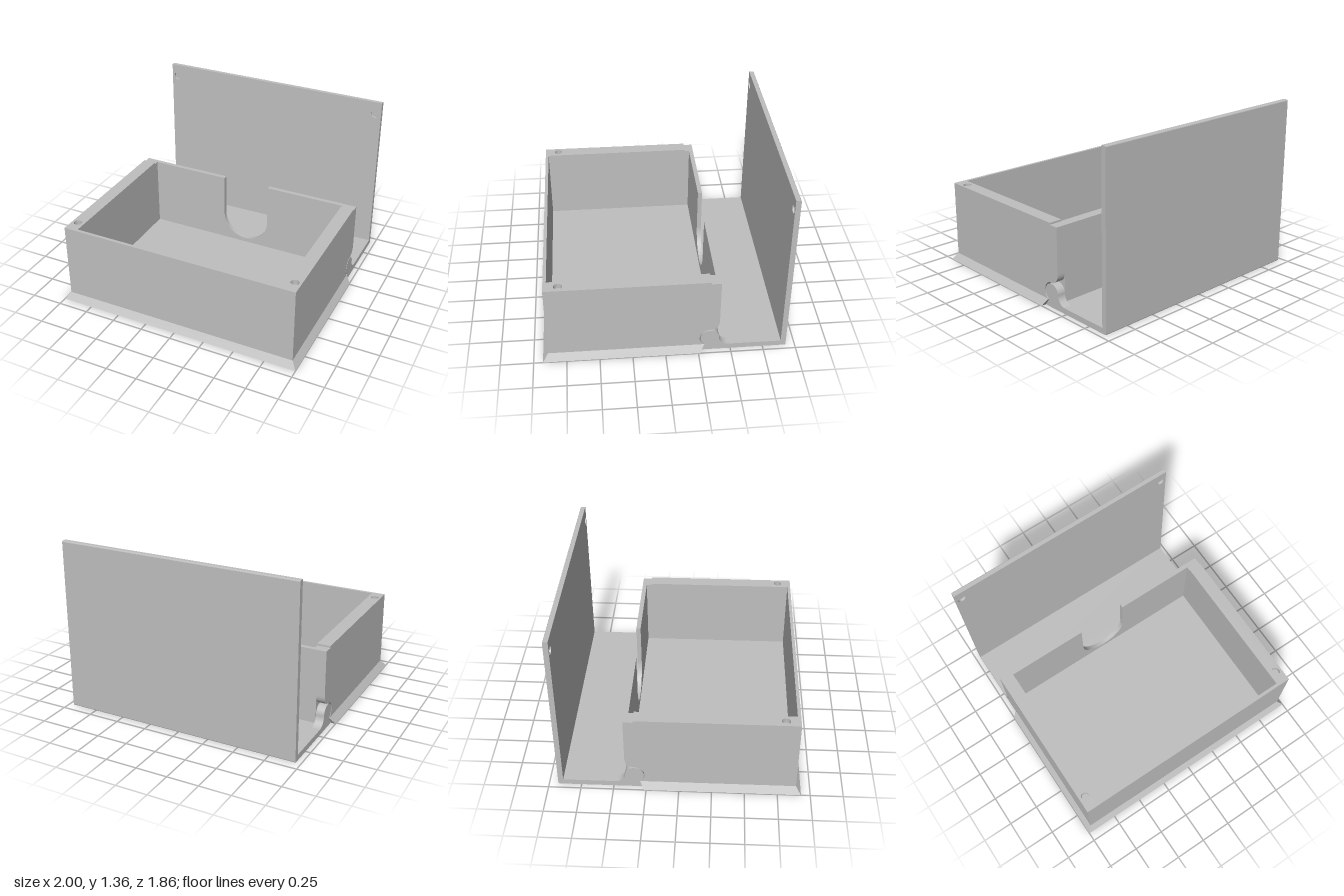
import * as THREE from 'three';

const W = 0.96;        // half width of box and lid
const IN = 0.855;      // half width of the cavity
const KN = 0.893;      // inner side of the hinge knuckles
const HX = 0.91, HR = 0.032; // magnet recess position and radius

export function createModel() {
  const root = new THREE.Group();
  const grey = new THREE.MeshStandardMaterial({ color: 0xbfbfbf });
  grey.name = 'grey plastic';

  const add = (name, geo, parent) => {
    const m = new THREE.Mesh(geo, grey);
    m.name = name;
    parent.add(m);
    return m;
  };
  const block = (name, x0, x1, y0, y1, z0, z1, parent) =>
    add(name, new THREE.BoxGeometry(x1 - x0, y1 - y0, z1 - z0), parent)
      .position.set((x0 + x1) / 2, (y0 + y1) / 2, (z0 + z1) / 2);
  const extrude = (shape, depth) =>
    new THREE.ExtrudeGeometry(shape, { depth, bevelEnabled: false, curveSegments: 24 });
  // side profile drawn as (-z, y), swept from x0 to x1
  const sweepX = (name, shape, x0, x1, parent) =>
    add(name, extrude(shape, x1 - x0).rotateY(Math.PI / 2).translate(x0, 0, 0), parent);
  const poly = (pts) => new THREE.Shape(pts.map(([a, b]) => new THREE.Vector2(a, b)));
  const drill = (shape, x, y) => {
    const hole = new THREE.Path();
    hole.absarc(x, y, HR, 0, Math.PI * 2, true);
    shape.holes.push(hole);
  };

  const box = new THREE.Group();
  box.name = 'box';
  const lid = new THREE.Group();
  lid.name = 'lid';
  root.add(box, lid);

  // box floor, with a raised rear strip above the lid plate
  block('floor', -IN, IN, 0, 0.065, -0.265, 0.865, box);
  block('rearFloor', -IN, IN, 0.05, 0.065, -0.375, -0.265, box);
  block('frontWall', -IN, IN, 0, 0.665, 0.865, 0.89, box);

  // rear wall with a U-shaped finger notch
  const rear = new THREE.Shape();
  rear.moveTo(-IN, 0.05);
  rear.lineTo(IN, 0.05);
  rear.lineTo(IN, 0.65);
  rear.lineTo(0.2, 0.65);
  rear.lineTo(0.2, 0.3);
  rear.absarc(0, 0.3, 0.2, 0, -Math.PI, true);
  rear.lineTo(-0.2, 0.65);
  rear.lineTo(-IN, 0.65);
  add('rearWall', extrude(rear, 0.035).translate(0, 0, -0.41), box);

  // side wall profiles: plain inner layer and outer layer with hinge socket
  const inner = poly([[-0.89, 0], [0.265, 0], [0.265, 0.05], [0.41, 0.05],
    [0.41, 0.65], [0.335, 0.65], [0.335, 0.625], [-0.89, 0.625]]);
  const rad = THREE.MathUtils.degToRad;
  const outer = new THREE.Shape();
  outer.moveTo(-0.89, 0);
  outer.lineTo(0.265, 0);
  outer.quadraticCurveTo(0.268, 0.035, 0.298, 0.05);
  outer.absarc(0.34, 0.12, 0.08, rad(220), rad(90), true);
  outer.quadraticCurveTo(0.41, 0.21, 0.41, 0.285);
  outer.lineTo(0.41, 0.65);
  outer.lineTo(0.335, 0.65);
  outer.lineTo(0.335, 0.625);
  outer.lineTo(-0.89, 0.625);

  // hinge knuckle with a fillet into the lid plate
  const knuckle = new THREE.Shape();
  knuckle.moveTo(0.28, 0);
  knuckle.quadraticCurveTo(0.283, 0.035, 0.307, 0.052);
  knuckle.absarc(0.34, 0.12, 0.07, rad(222), 0, true);
  knuckle.absarc(0.485, 0.12, 0.075, Math.PI, Math.PI * 1.5, false);
  knuckle.lineTo(0.485, 0);

  for (const s of [1, -1]) {
    const side = s > 0 ? 'left' : 'right';
    const span = (a, b) => (s > 0 ? [a, b] : [-b, -a]);
    sweepX(side + 'WallInner', inner, ...span(IN, KN), box);
    sweepX(side + 'WallOuter', outer, ...span(KN, W), box);
    sweepX(side + 'Knuckle', knuckle, ...span(KN + 0.002, W), lid);

    // top rim with a round magnet recess
    const [a, b] = span(IN, W);
    const rim = poly([[a, -0.89], [b, -0.89], [b, 0.335], [a, 0.335]]);
    drill(rim, s * HX, -0.78);
    add(side + 'Rim', extrude(rim, 0.04).rotateX(-Math.PI / 2).translate(0, 0.625, 0), box);
  }

  // flared skirt around the front and sides
  const topEdge = [[-W, -0.298], [-W, 0.89], [W, 0.89], [W, -0.298]];
  const lowEdge = [[-1, -0.265], [-1, 0.93], [1, 0.93], [1, -0.265]];
  const inEdge = [[-W, -0.265], [-W, 0.89], [W, 0.89], [W, -0.265]];
  const pos = [];
  const T = (i) => [topEdge[i][0], 0.055, topEdge[i][1]];
  const L = (i) => [lowEdge[i][0], 0, lowEdge[i][1]];
  const I = (i) => [inEdge[i][0], 0, inEdge[i][1]];
  const tri = (...p) => p.forEach((v) => pos.push(...v));
  for (let i = 0; i < 3; i++) {
    tri(L(i), L(i + 1), T(i + 1));
    tri(L(i), T(i + 1), T(i));
    tri(I(i), I(i + 1), L(i + 1));
    tri(I(i), L(i + 1), L(i));
  }
  tri(I(0), L(0), T(0));
  tri(L(3), I(3), T(3));
  const skirt = new THREE.BufferGeometry();
  skirt.setAttribute('position', new THREE.Float32BufferAttribute(pos, 3));
  skirt.computeVertexNormals();
  add('skirt', skirt, box);

  // lid: plate under the hinge, then an L-shaped plate and upright
  block('hingePlate', -KN - 0.002, KN + 0.002, 0, 0.045, -0.485, -0.28, lid);
  const c = 0.008;
  sweepX('lidShell', poly([[0.485, 0], [0.93 - c, 0], [0.93 - c * 0.3, c * 0.3], [0.93, c],
    [0.93, 1.36 - c], [0.93 - c * 0.3, 1.36 - c * 0.3], [0.93 - c, 1.36],
    [0.91, 1.36], [0.91, 0.045], [0.485, 0.045]]), -W, W, lid);

  // inner face of the lid with two magnet recesses
  const face = poly([[-W, 0.045], [W, 0.045], [W, 1.36], [-W, 1.36]]);
  drill(face, HX, 1.255);
  drill(face, -HX, 1.255);
  add('lidInnerFace', extrude(face, 0.02).translate(0, 0, -0.91), lid);

  return root;
}
